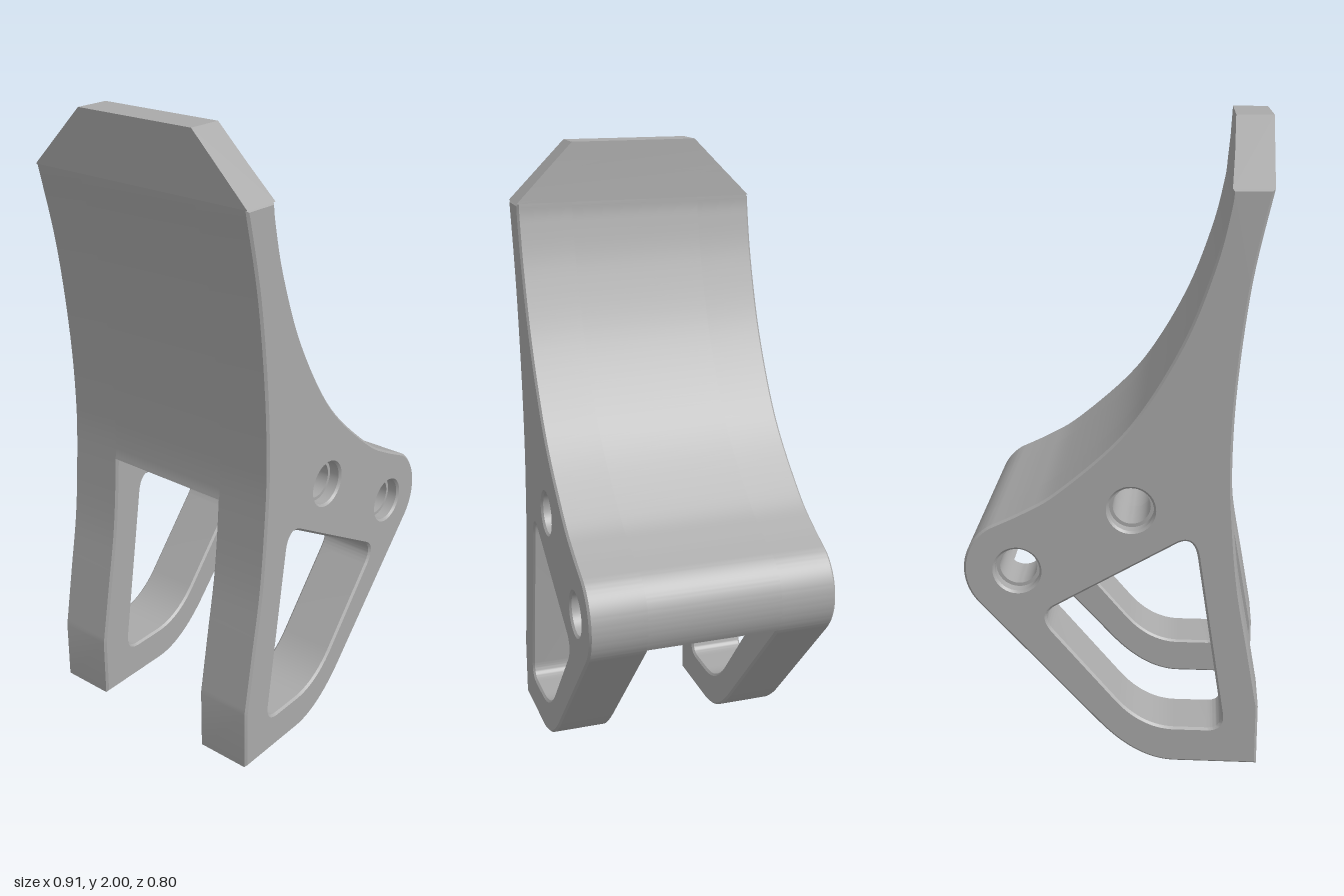
import * as THREE from 'three';
import { toCreasedNormals } from 'three/addons/utils/BufferGeometryUtils.js';

const V = (x, y) => new THREE.Vector2(x, y);
const spline = (pts) => new THREE.SplineCurve(pts.map(([x, y]) => V(x, y))).getPoints(48);

const HALF = 0.4;        // half width of the bracket
const SLOT = 0.21;       // half width of the slot between the legs
const SHOULDER = 1.81;   // height where the top corners start to taper
const BEVEL = 0.007;
const TIP = { x: 0.29, y: 0.645, r: 0.165 };
const HOLES = [[-0.06, 0.85], [TIP.x, TIP.y]];
const BORE = 0.058, COUNTERBORE = 0.069;

// Concave front face, from the tip upwards, and the back face, downwards
const frontCurve = spline([[0.372, 0.788], [0.27, 0.838], [0.17, 0.9], [0, 1.05], [-0.11, 1.19],
  [-0.22, 1.39], [-0.297, 1.6], [-0.333, 1.75], [-0.341, SHOULDER]]);
const backCurve = spline([[-0.46, SHOULDER], [-0.405, 1.55], [-0.37, 1.25], [-0.36, 1.0],
  [-0.37, 0.8], [-0.39, 0.6], [-0.425, 0.4], [-0.46, 0.2]]);

function addPoints(shape, points) {
  points.forEach((p) => shape.lineTo(p.x, p.y));
}

function circle(x, y, r) {
  return new THREE.Path().absarc(x, y, r, 0, Math.PI * 2, true);
}

function extrude(shape, z0, z1, bevel = 0) {
  const geo = new THREE.ExtrudeGeometry(shape, {
    depth: z1 - z0 - 2 * bevel, curveSegments: 20, bevelEnabled: bevel > 0,
    bevelSize: bevel, bevelThickness: bevel, bevelOffset: -bevel, bevelSegments: 1,
  });
  geo.translate(0, 0, z0 + bevel);
  return geo;
}

// Full side outline with the window and the bolt holes
function legShape() {
  const s = new THREE.Shape();
  s.moveTo(-0.46, 0);
  s.lineTo(-0.2, 0);
  s.quadraticCurveTo(-0.08, 0, 0.04, 0.13);
  s.absarc(TIP.x, TIP.y, TIP.r, -0.744, Math.PI / 3, false);
  addPoints(s, frontCurve.slice(1));
  addPoints(s, backCurve);

  const w = new THREE.Path();
  w.moveTo(-0.3, 0.12);
  w.lineTo(-0.2, 0.12);
  w.quadraticCurveTo(-0.1, 0.12, -0.02, 0.21);
  w.lineTo(0.18, 0.445);
  w.quadraticCurveTo(0.225, 0.5, 0.17, 0.53);
  w.lineTo(-0.2, 0.745);
  w.quadraticCurveTo(-0.255, 0.775, -0.265, 0.69);
  w.lineTo(-0.345, 0.17);
  w.quadraticCurveTo(-0.35, 0.12, -0.3, 0.12);
  s.holes.push(w, ...HOLES.map(([x, y]) => circle(x, y, COUNTERBORE)));
  return s;
}

// Middle outline: ends at the sloping roof of the slot, which cuts the tip bore
function middleShape() {
  const s = new THREE.Shape();
  const back = V(-0.367, 0.86), front = V(0.431, 0.56);
  const dir = front.clone().sub(back).normalize();
  const roofY = back.y + (TIP.x - back.x) * dir.y / dir.x;
  const half = Math.acos((TIP.y - roofY) * dir.x / BORE);
  const down = Math.atan2(-dir.x, dir.y);
  s.moveTo(front.x, front.y);
  s.absarc(TIP.x, TIP.y, TIP.r, Math.asin((front.y - TIP.y) / TIP.r), Math.PI / 3, false);
  addPoints(s, frontCurve.slice(1));
  addPoints(s, backCurve.filter((p) => p.y > back.y + 0.005));
  s.lineTo(back.x, back.y);
  s.absarc(TIP.x, TIP.y, BORE, down - half, down + half, true);
  s.holes.push(circle(HOLES[0][0], HOLES[0][1], BORE));
  return s;
}

// Top end, narrowing by 45 degrees on both sides
function headGeometry() {
  const s = new THREE.Shape([V(-0.46, SHOULDER), V(-0.341, SHOULDER), V(-0.347, 1.9),
    V(-0.35, 2), V(-0.46, 2), V(-0.46, 1.9)]);
  const geo = extrude(s, -HALF, HALF);
  const p = geo.attributes.position;
  for (let i = 0; i < p.count; i++) {
    p.setZ(i, Math.sign(p.getZ(i)) * (HALF - (p.getY(i) - SHOULDER)));
  }
  geo.computeVertexNormals();
  return geo;
}

export function createModel() {
  const group = new THREE.Group();
  group.name = 'bracket';
  const grey = new THREE.MeshStandardMaterial({ color: 0xa9a9a9 });
  grey.name = 'grey';

  const add = (name, geo) => {
    const mesh = new THREE.Mesh(toCreasedNormals(geo, 0.45), grey);
    mesh.name = name;
    group.add(mesh);
  };

  add('middleWeb', extrude(middleShape(), -SLOT - BEVEL, SLOT + BEVEL));
  add('taperedHead', headGeometry());

  // Side plates and the stepped sleeves in their bolt holes
  for (const [side, z0, z1] of [['front', SLOT, HALF], ['back', -HALF, -SLOT]]) {
    add(side + 'Leg', extrude(legShape(), z0, z1, BEVEL));
    const inset = 0.04;
    HOLES.forEach(([x, y], i) => {
      const ring = new THREE.Shape().absarc(x, y, COUNTERBORE + 0.002, 0, Math.PI * 2, false);
      ring.holes.push(circle(x, y, BORE));
      add(side + 'BoltSleeve' + (i + 1),
        extrude(ring, side === 'front' ? z0 : z0 + inset, side === 'front' ? z1 - inset : z1));
    });
  }
  return group;
}
